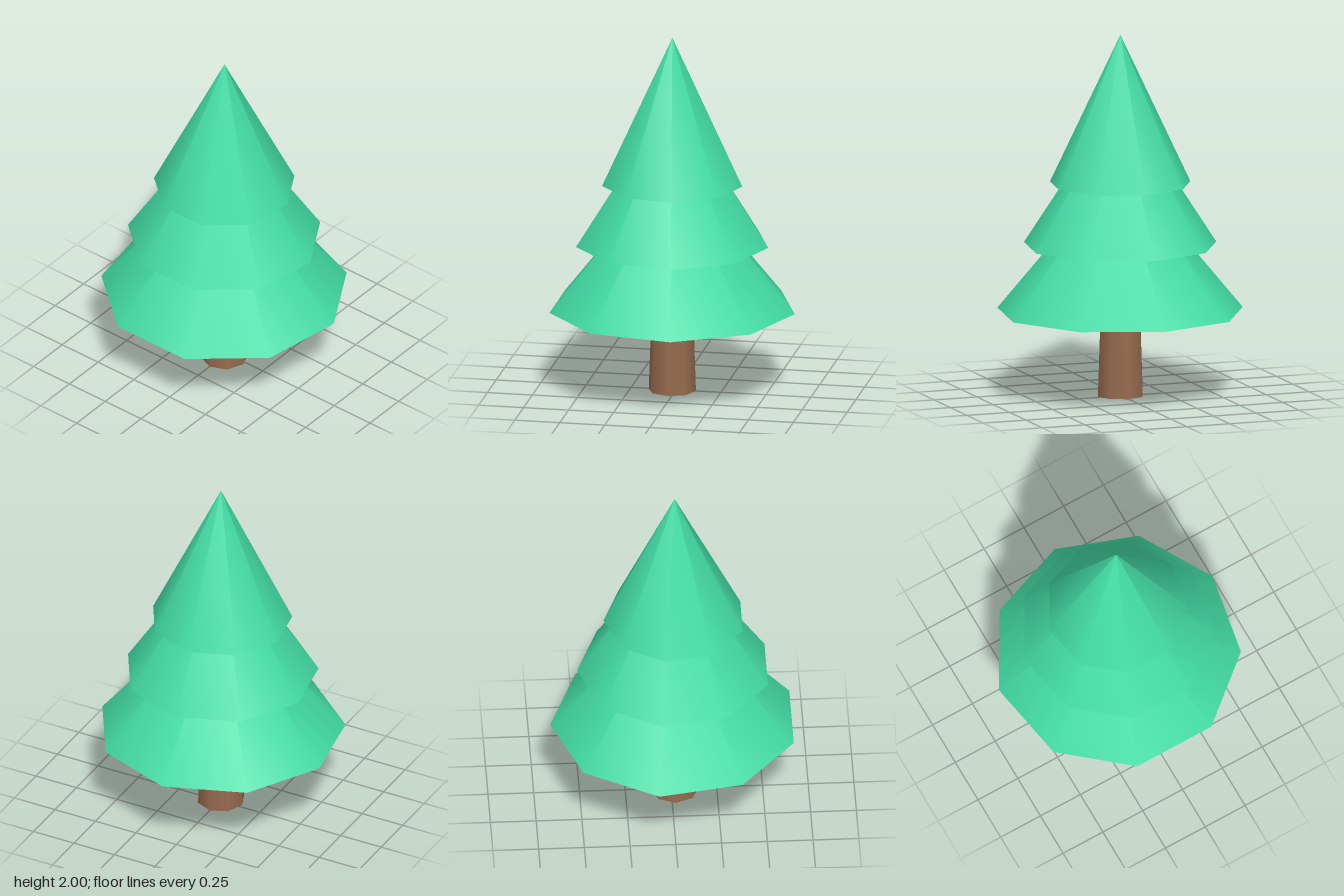
import * as THREE from 'three';

export function createModel() {
  const group = new THREE.Group();
  group.name = 'pineTree';

  const foliage = new THREE.MeshStandardMaterial({ color: 0x43dba6 });
  foliage.name = 'foliageGreen';
  const bark = new THREE.MeshStandardMaterial({ color: 0x976b4f });
  bark.name = 'barkBrown';

  const axisZ = 0.02; // the odd-sided tiers put the trunk axis slightly forward
  const add = (name, geometry, material, y) => {
    const mesh = new THREE.Mesh(geometry, material);
    mesh.name = name;
    mesh.position.set(0, y, axisZ);
    group.add(mesh);
    return mesh;
  };

  // Tapered eight-sided trunk, reaching just inside the lowest tier
  const trunkHeight = 0.5;
  add('trunk', new THREE.CylinderGeometry(0.114, 0.131, trunkHeight, 8), bark, trunkHeight / 2);

  // Three nine-sided cones of equal height, one corner pointing back
  const tierHeight = 0.825;
  const tiers = [
    ['lowerBranches', 0.68, 0.467],
    ['middleBranches', 0.533, 0.835],
    ['upperBranches', 0.389, 1.175],
  ];
  for (const [name, radius, base] of tiers) {
    const cone = new THREE.ConeGeometry(radius, tierHeight, 9).rotateY(Math.PI);
    add(name, cone, foliage, base + tierHeight / 2);
  }

  return group;
}
